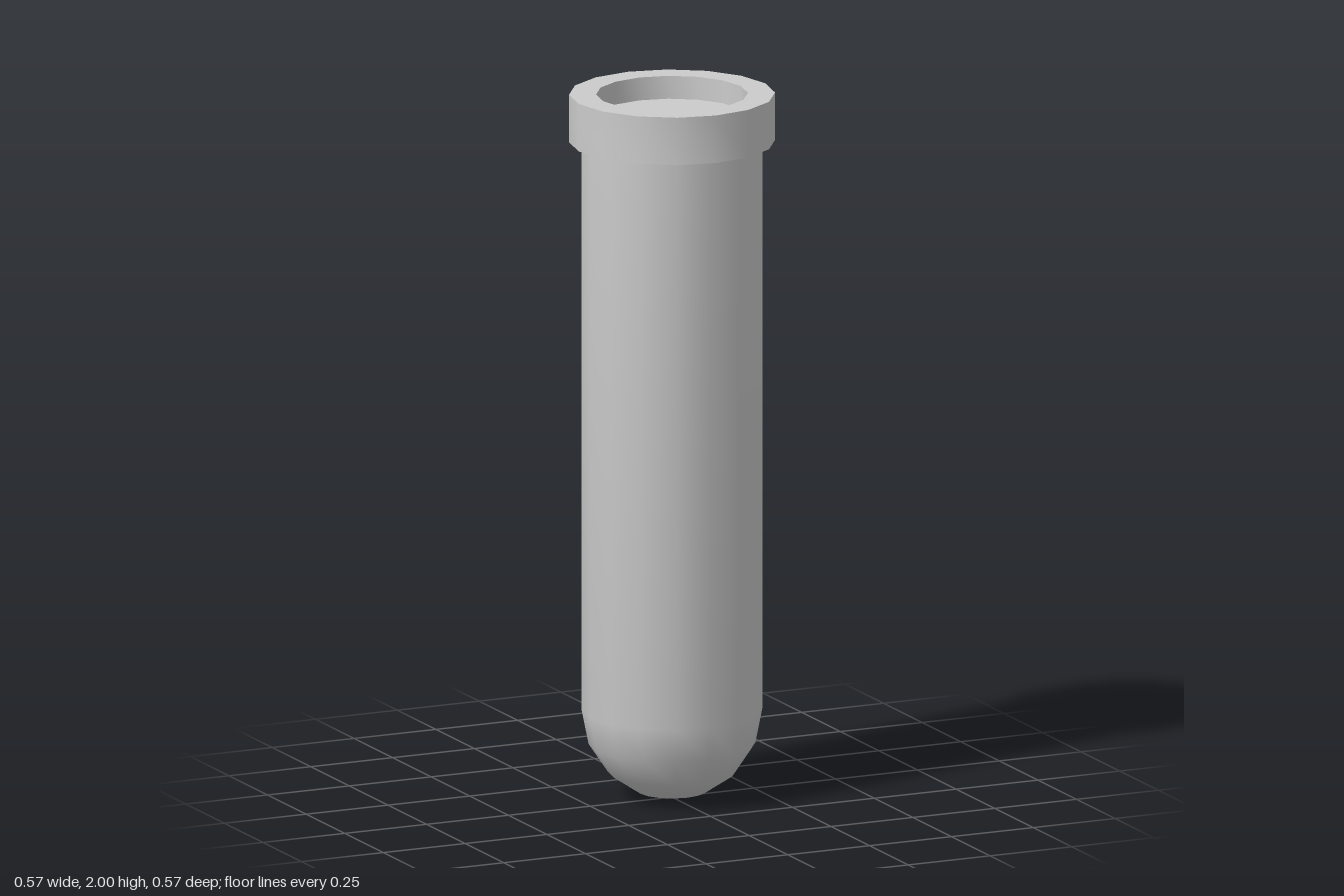
import * as THREE from 'three';
import { toCreasedNormals } from 'three/addons/utils/BufferGeometryUtils.js';

const SIDES = 16;
const RADIUS = 0.25;

export function createModel() {
  const group = new THREE.Group();
  const material = new THREE.MeshStandardMaterial({ color: 0xcccccc });

  // Revolve a [radius, height] profile, keeping sharp rims crisp
  const addTurned = (name, profile) => {
    const points = profile.map(([r, y]) => new THREE.Vector2(r, y));
    const geometry = toCreasedNormals(new THREE.LatheGeometry(points, SIDES), 0.7);
    const mesh = new THREE.Mesh(geometry, material);
    mesh.name = name;
    group.add(mesh);
  };

  // Tube body: rounded bottom, straight wall, flat top recessed in the rim
  const body = [];
  for (let i = 0; i <= 4; i++) {
    const a = (i / 4) * Math.PI / 2;
    body.push([RADIUS * Math.sin(a), RADIUS * (1 - Math.cos(a))]);
  }
  body.push([RADIUS, 1.935], [0, 1.935]);
  addTurned('tubeBody', body);

  // Rim collar: square-section ring around the mouth
  addTurned('rim', [[0.21, 1.865], [0.285, 1.865], [0.285, 2], [0.21, 2], [0.21, 1.865]]);

  return group;
}
